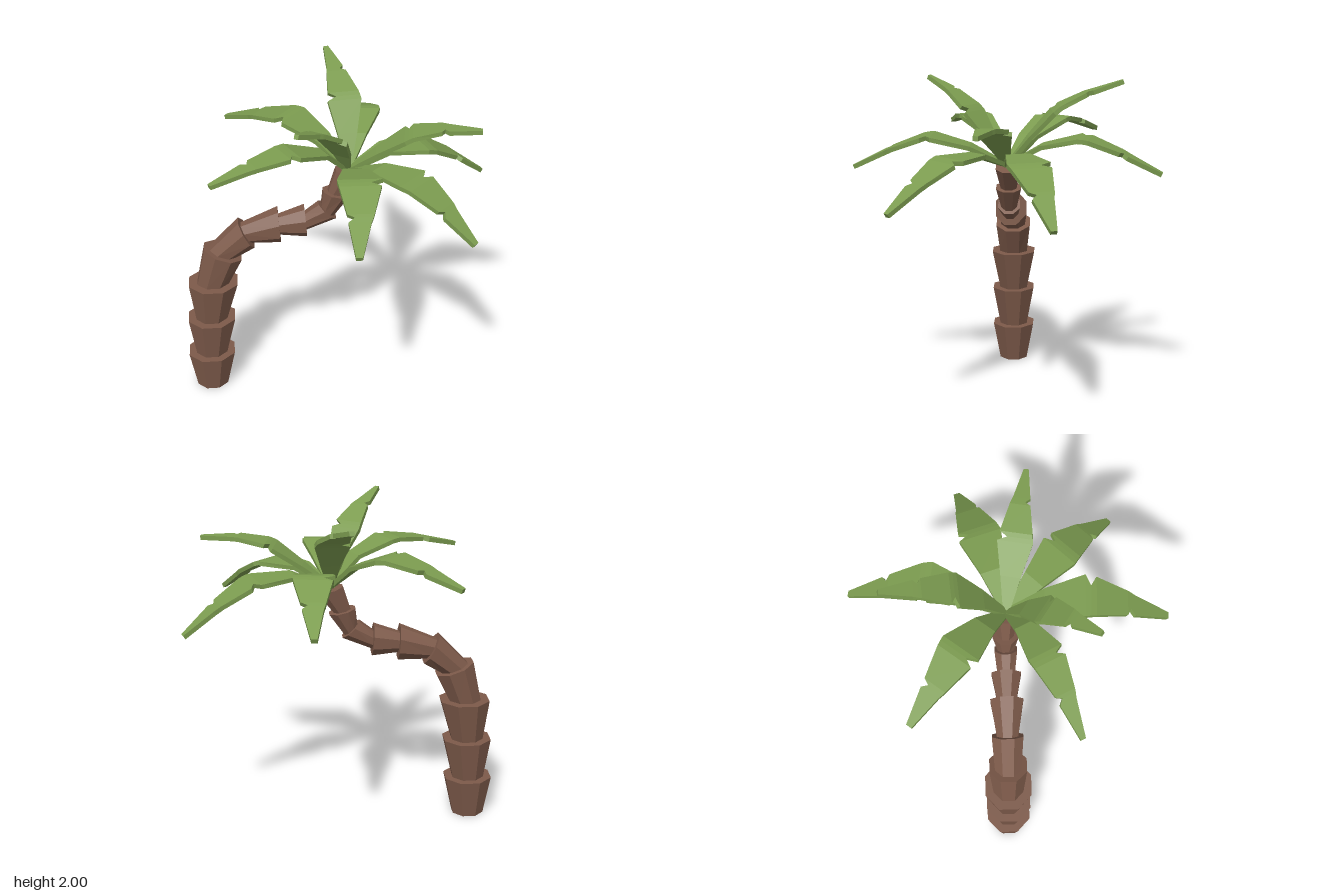
import * as THREE from 'three';

// Joins equal-sized rings (counter-clockwise seen from the far end) into a closed, faceted solid
function loft(rings) {
  const pos = [];
  const tri = (...pts) => pts.forEach((p) => pos.push(p.x, p.y, p.z));
  const n = rings[0].length;
  for (let r = 0; r + 1 < rings.length; r++) {
    const a = rings[r], b = rings[r + 1];
    for (let i = 0; i < n; i++) {
      const j = (i + 1) % n;
      tri(a[i], a[j], b[j]);
      tri(a[i], b[j], b[i]);
    }
  }
  const first = rings[0], last = rings[rings.length - 1];
  for (let i = 1; i + 1 < n; i++) {
    tri(first[0], first[i + 1], first[i]);
    tri(last[0], last[i], last[i + 1]);
  }
  const geometry = new THREE.BufferGeometry();
  geometry.setAttribute('position', new THREE.Float32BufferAttribute(pos, 3));
  geometry.computeVertexNormals();
  return geometry;
}

// Octagon around a trunk joint, tilted in the xy plane; angle is the lean from vertical towards +x
function octagon(x, y, radius, lean) {
  const ring = [];
  const R = radius / Math.cos(Math.PI / 8);
  for (let i = 0; i < 8; i++) {
    const a = ((i + 0.5) * Math.PI) / 4;
    const across = Math.sin(a) * R;
    ring.push(new THREE.Vector3(
      x + across * Math.cos(lean),
      y - across * Math.sin(lean),
      -0.015 + Math.cos(a) * R * 0.94
    ));
  }
  return ring;
}

// Trunk joints: x, y, rim radius, lean, radius of the next segment's foot
const JOINTS = [
  [-0.795, 0, 0, 0, 0.095],
  [-0.787, 0.25, 0.142, 0, 0.095],
  [-0.773, 0.51, 0.143, 0, 0.095],
  [-0.75, 0.77, 0.147, 0, 0.095],
  [-0.68, 0.98, 0.117, 0.36, 0.082],
  [-0.535, 1.105, 0.097, 1.08, 0.066],
  [-0.337, 1.153, 0.102, 1.5, 0.06],
  [-0.18, 1.172, 0.092, 1.5, 0.054],
  [-0.05, 1.24, 0.07, 0.75, 0.05],
  [0.003, 1.357, 0.079, 0.23, 0.05],
  [0.075, 1.49, 0.077, 0.26, 0],
];

// Leaf outline: distance along the leaf, left and right half width, one notch per side
const OUTLINE = [
  [0, 0.02, 0.02],
  [0.25, 0.072, 0.072],
  [0.48, 0.125, 0.125],
  [0.51, 0.06, 0.12],
  [0.54, 0.115, 0.115],
  [0.73, 0.075, 0.07],
  [0.75, 0.07, 0.03],
  [0.78, 0.06, 0.062],
  [1, 0.018, 0.018],
];

const ROOT = [0.07, 1.5, -0.01];

// Leaves: width factor, then three centre points from the crown to the tip
const FRONDS = [
  [1, [0.32, 1.6, -0.09], [0.58, 1.56, -0.17], [0.92, 1.31, -0.29]],
  [0.8, [0.24, 1.63, 0.02], [0.47, 1.77, 0.06], [0.82, 1.78, 0.12]],
  [0.95, [0.25, 1.59, 0.17], [0.45, 1.57, 0.34], [0.71, 1.34, 0.61]],
  [1, [0.09, 1.61, 0.2], [0.09, 1.67, 0.45], [0.04, 1.48, 0.9]],
  [0.72, [0.02, 1.68, 0.11], [-0.08, 1.86, 0.25], [-0.25, 1.98, 0.48]],
  [0.8, [-0.1, 1.68, 0.1], [-0.32, 1.74, 0.22], [-0.72, 1.65, 0.38]],
  [0.95, [-0.09, 1.67, -0.15], [-0.27, 1.74, -0.29], [-0.62, 1.62, -0.54]],
  [0.8, [0.08, 1.68, -0.15], [0.07, 1.86, -0.33], [0, 1.985, -0.68]],
  [0.95, [0.13, 1.62, -0.2], [0.19, 1.68, -0.45], [0.21, 1.48, -0.9]],
];

function frondGeometry([width, ...points]) {
  const path = new THREE.CatmullRomCurve3([ROOT, ...points].map((p) => new THREE.Vector3(...p)));
  const half = 0.013;
  const out = path.getPoint(1).sub(path.getPoint(0)).setY(0).normalize();
  const right = out.clone().cross(new THREE.Vector3(0, 1, 0));
  const rings = OUTLINE.map(([t, left, rightWidth]) => {
    const centre = path.getPointAt(t);
    const up = right.clone().cross(path.getTangentAt(t)).normalize();
    const corner = (h, w) => centre.clone().addScaledVector(up, h).addScaledVector(right, w * width);
    return [corner(half, rightWidth), corner(-half, rightWidth), corner(-half, -left), corner(half, -left)];
  });
  return loft(rings);
}

export function createModel() {
  const model = new THREE.Group();
  model.name = 'palmTree';

  const bark = new THREE.MeshStandardMaterial({ color: 0x7d5a4a });
  bark.name = 'barkBrown';
  const leaf = new THREE.MeshStandardMaterial({ color: 0x7c9c50 });
  leaf.name = 'leafGreen';

  // Trunk: flared segments stacked along the bend
  const trunk = new THREE.Group();
  trunk.name = 'trunk';
  for (let i = 0; i + 1 < JOINTS.length; i++) {
    const [x0, y0, , lean0, foot] = JOINTS[i];
    const [x1, y1, rim, lean1] = JOINTS[i + 1];
    const segment = new THREE.Mesh(loft([octagon(x0, y0, foot, lean0), octagon(x1, y1, rim, lean1)]), bark);
    segment.name = `trunkSegment${i + 1}`;
    trunk.add(segment);
  }
  model.add(trunk);

  // Crown: notched leaves fanning out from the trunk top
  const crown = new THREE.Group();
  crown.name = 'crown';
  FRONDS.forEach((data, i) => {
    const frond = new THREE.Mesh(frondGeometry(data), leaf);
    frond.name = `frond${i + 1}`;
    crown.add(frond);
  });
  model.add(crown);

  return model;
}
